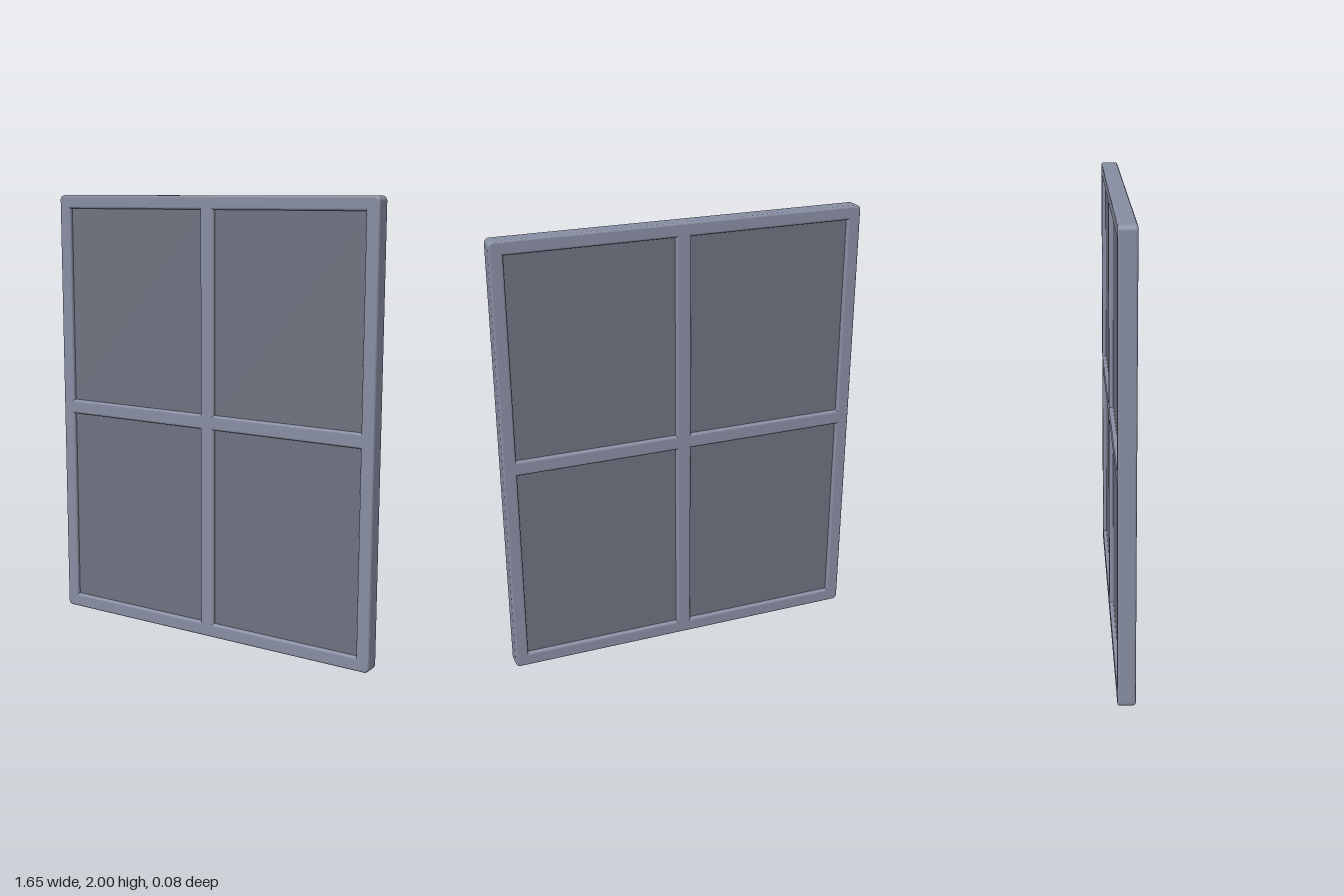
import * as THREE from 'three';

const W = 0.823, H = 2, HALF_DEPTH = 0.038, BEVEL = 0.01, RADIUS = 0.012;

// rectangle with small rounded corners
function roundedRect(x0, y0, x1, y1, r) {
  const shape = new THREE.Shape();
  shape.absarc(x1 - r, y1 - r, r, 0, Math.PI / 2);
  shape.absarc(x0 + r, y1 - r, r, Math.PI / 2, Math.PI);
  shape.absarc(x0 + r, y0 + r, r, Math.PI, Math.PI * 1.5);
  shape.absarc(x1 - r, y0 + r, r, Math.PI * 1.5, Math.PI * 2);
  return shape;
}

export function createModel() {
  const group = new THREE.Group();
  group.name = 'window';
  const frameMaterial = new THREE.MeshStandardMaterial({ color: 0x888ea3, flatShading: true });
  const paneMaterial = new THREE.MeshStandardMaterial({ color: 0x6f7381 });

  // outer frame and cross bars, with four softly rounded openings
  const shape = roundedRect(-W + BEVEL, BEVEL, W - BEVEL, H - BEVEL, RADIUS);
  const panes = [];
  for (const [x0, x1] of [[-0.773, -0.024], [0.024, 0.773]]) {
    for (const [y0, y1] of [[0.054, 0.98], [1.026, 1.949]]) {
      shape.holes.push(new THREE.Path([[x0, y0], [x0, y1], [x1, y1], [x1, y0]]
        .map(([x, y]) => new THREE.Vector2(x, y))));
      panes.push([x0, x1, y0, y1]);
    }
  }
  const depth = 2 * (HALF_DEPTH - BEVEL);
  const geometry = new THREE.ExtrudeGeometry(shape, {
    depth, bevelEnabled: true, bevelThickness: BEVEL, bevelSize: BEVEL,
    bevelSegments: 4, curveSegments: 4,
  });
  geometry.translate(0, 0, -depth / 2);
  const frame = new THREE.Mesh(geometry, frameMaterial);
  frame.name = 'frame';
  group.add(frame);

  // recessed panes
  for (const [x0, x1, y0, y1] of panes) {
    const pane = new THREE.Mesh(new THREE.BoxGeometry(x1 - x0, y1 - y0, 0.04), paneMaterial);
    pane.position.set((x0 + x1) / 2, (y0 + y1) / 2, 0);
    pane.name = 'pane';
    group.add(pane);
  }
  return group;
}
